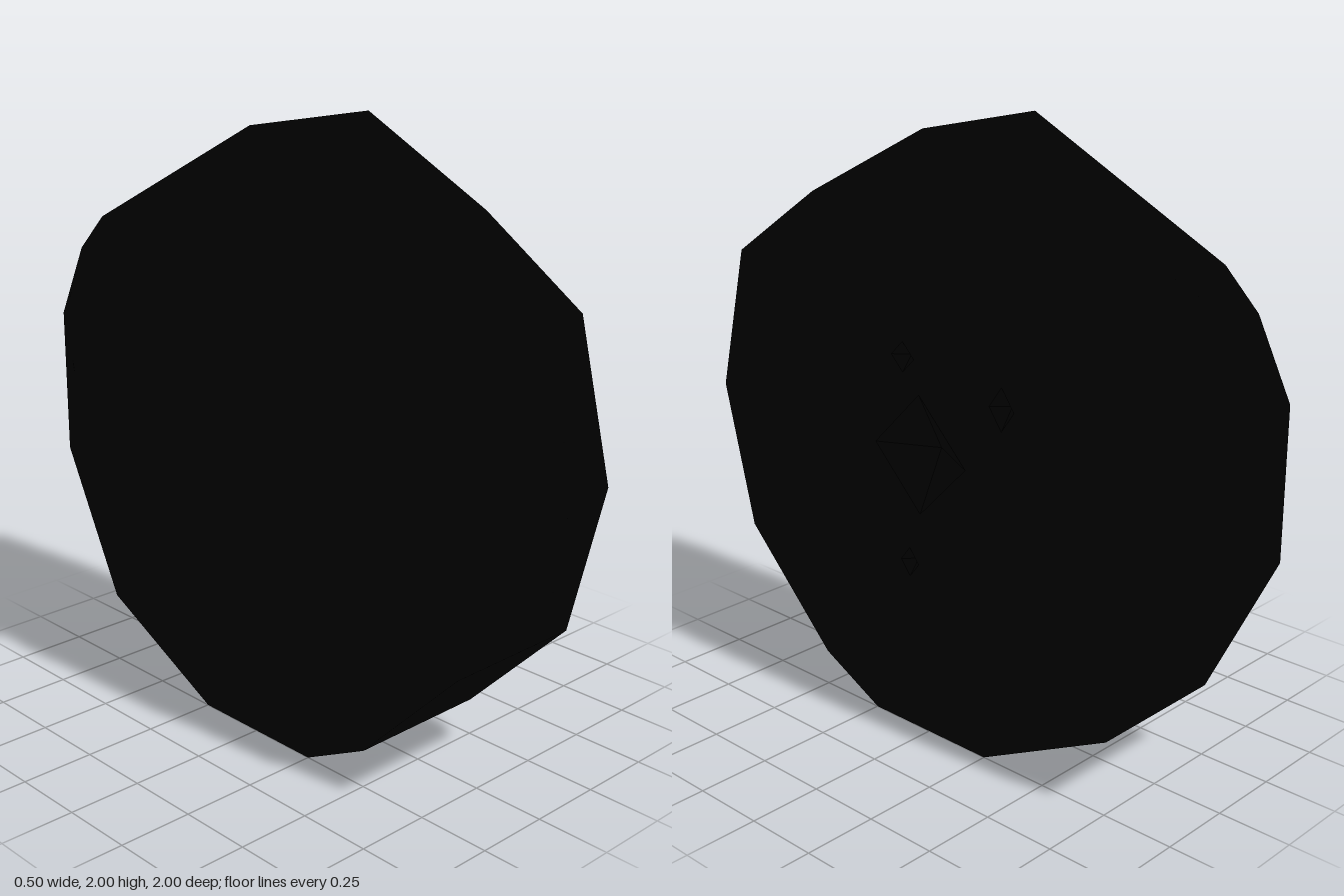
import * as THREE from 'three';
import { mergeGeometries, mergeVertices } from 'three/addons/utils/BufferGeometryUtils.js';

const HALF = 0.25; // half width of the wheel

// Rim outline as [z, y], shared by both sides apart from the points marked by a third and fourth
// number, where the left side lies on the straight edge and the right side is dented.
const OUTLINE = [
  [0, 2], [0.5, 1.75], [0.625, 1.667, 0.625, 1.625], [0.875, 1.5],
  [0.9375, 1.25, 0.875, 1.25], [1, 1], [0.9375, 0.75, 0.875, 0.75],
  [0.875, 0.5], [0.5, 0.125], [0.25, 0], [-0.25, 0], [-0.75, 0.25],
  [-1, 0.75], [-1, 1.25], [-0.875, 1.5], [-0.75, 1.625],
];

// Pits in the left face: centre z, centre y, half width, half height, depth
const PITS = [
  [0.03, 0.97, 0.2, 0.2, 0.1],
  [0.1, 1.28, 0.05, 0.05, 0.04],
  [-0.32, 1.2, 0.05, 0.07, 0.05],
  [0.08, 0.59, 0.04, 0.05, 0.04],
];

const pitRim = ([z, y, w, h]) => [[z - w, y], [z, y + h], [z + w, y], [z, y - h]];

function geometryFrom(positions) {
  const geometry = new THREE.BufferGeometry();
  geometry.setAttribute('position', new THREE.Float32BufferAttribute(positions, 3));
  return geometry;
}

// Flat side at x = side * HALF, with optional holes
function sideFace(points, side, holes = []) {
  const toShape = ([z, y]) => new THREE.Vector2(-side * z, y);
  const shape = new THREE.Shape(points.map(toShape));
  shape.holes = holes.map((h) => new THREE.Path(h.map(toShape)));
  const flat = new THREE.ShapeGeometry(shape).rotateY(side * Math.PI / 2).translate(side * HALF, 0, 0);
  const geometry = flat.toNonIndexed();
  geometry.deleteAttribute('normal');
  geometry.deleteAttribute('uv');
  return geometry;
}

// Tread strip joining the two rims
function tread(left, right) {
  const positions = [];
  left.forEach((p, i) => {
    const j = (i + 1) % left.length;
    const a = [HALF, p[1], p[0]];
    const b = [-HALF, right[i][1], right[i][0]];
    const c = [-HALF, right[j][1], right[j][0]];
    const d = [HALF, left[j][1], left[j][0]];
    positions.push(...a, ...b, ...c, ...a, ...c, ...d);
  });
  return geometryFrom(positions);
}

// Four sided hollow sinking inward from the left face
function pit(spec) {
  const rim = pitRim(spec);
  const positions = [];
  rim.forEach(([z, y], i) => {
    const [z2, y2] = rim[(i + 1) % 4];
    positions.push(HALF, y, z, HALF, y2, z2, HALF - spec[4], spec[1], spec[0]);
  });
  const geometry = geometryFrom(positions);
  geometry.computeVertexNormals();
  return geometry;
}

export function createModel() {
  const group = new THREE.Group();
  const rubber = new THREE.MeshStandardMaterial({ color: 0x000000 });
  rubber.name = 'black rubber';

  const left = OUTLINE.map(([z, y]) => [z, y]);
  const right = OUTLINE.map(([z, y, z2 = z, y2 = y]) => [z2, y2]);

  // Wheel body, welded so the shading runs softly over the rim
  const body = mergeVertices(mergeGeometries([
    sideFace(left, 1, PITS.map(pitRim)),
    sideFace(right, -1),
    tread(left, right),
  ]), 1e-4);
  body.computeVertexNormals();
  const wheel = new THREE.Mesh(body, rubber);
  wheel.name = 'wheel';
  group.add(wheel);

  // Hub hollow and the small bolt hollows around it
  PITS.forEach((spec, i) => {
    const mesh = new THREE.Mesh(pit(spec), rubber);
    mesh.name = i === 0 ? 'hubHollow' : 'boltHollow';
    group.add(mesh);
  });
  return group;
}
